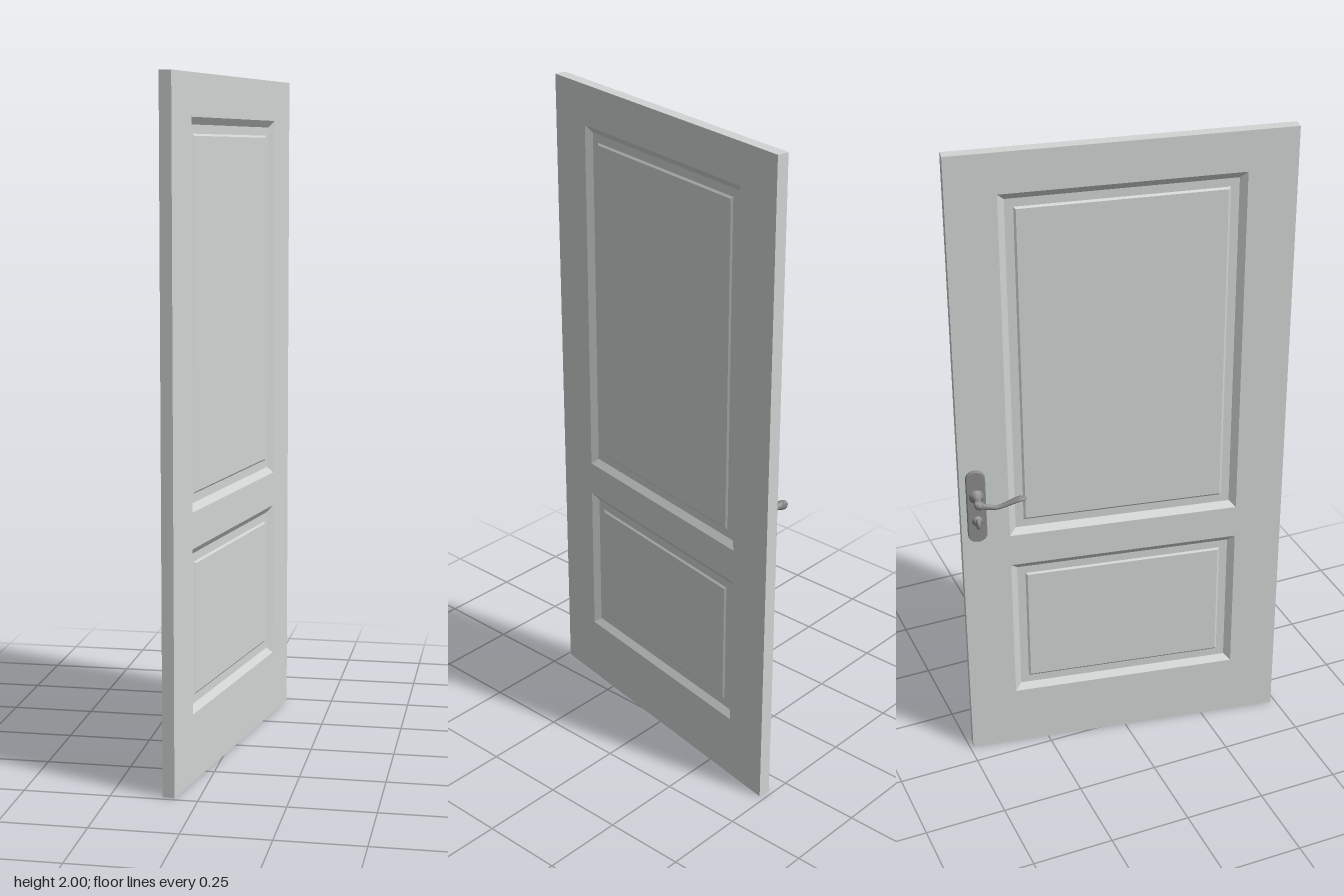
import * as THREE from 'three';

const W = 0.988, H = 2, T = 0.036;          // door leaf
const HX = -0.447;                          // handle axis, across the leaf
const PANELS = [[0.2, 0.68], [0.785, 1.88]]; // bottom and top of each panel
const PANEL_HALF = 0.35;

const paint = new THREE.MeshStandardMaterial({ color: 0xd0d5d3 });
paint.name = 'palePaint';
const metal = new THREE.MeshStandardMaterial({ color: 0x8c8c8c });
metal.name = 'greyMetal';

function add(parent, name, geometry, material, x = 0, y = 0, z = 0) {
  const mesh = new THREE.Mesh(geometry, material);
  mesh.name = name;
  mesh.position.set(x, y, z);
  parent.add(mesh);
  return mesh;
}

function rectPoints(x0, y0, x1, y1) {
  return [[x0, y0], [x1, y0], [x1, y1], [x0, y1]].map(p => new THREE.Vector2(...p));
}

// Stiles and rails: one slab with an opening for each panel
function frameGeometry() {
  const shape = new THREE.Shape(rectPoints(-W / 2, 0, W / 2, H));
  for (const [y0, y1] of PANELS) {
    shape.holes.push(new THREE.Path(rectPoints(-PANEL_HALF, y0, PANEL_HALF, y1)));
  }
  return new THREE.ExtrudeGeometry(shape, { depth: T, bevelEnabled: false }).translate(0, 0, -T / 2);
}

// Panel face: sloped moulding, groove and slightly raised field
function panelGeometry(y0, y1) {
  const steps = [[0, T / 2], [0.02, 0.004], [0.045, 0.004], [0.051, 0.008]];
  const rings = steps.map(([d, z]) =>
    rectPoints(-PANEL_HALF + d, y0 + d, PANEL_HALF - d, y1 - d).map(p => [p.x, p.y, z]));
  const pos = [];
  const quad = (a, b, c, d) => pos.push(...a, ...b, ...c, ...a, ...c, ...d);
  for (let r = 0; r < rings.length - 1; r++) {
    for (let i = 0; i < 4; i++) {
      const j = (i + 1) % 4;
      quad(rings[r][i], rings[r][j], rings[r + 1][j], rings[r + 1][i]);
    }
  }
  quad(...rings[rings.length - 1]);
  const geo = new THREE.BufferGeometry();
  geo.setAttribute('position', new THREE.Float32BufferAttribute(pos, 3));
  geo.computeVertexNormals();
  return geo;
}

// Long plate with arched ends
function plateGeometry() {
  const w = 0.026, h = 0.095, rise = 0.024;
  const s = new THREE.Shape();
  s.moveTo(-w, -h);
  s.absellipse(0, -h, w, rise, Math.PI, Math.PI * 2, false);
  s.lineTo(w, h);
  s.absellipse(0, h, w, rise, 0, Math.PI, false);
  s.closePath();
  return new THREE.ExtrudeGeometry(s, {
    depth: 0.006, bevelThickness: 0.004, bevelSize: 0.003, bevelSegments: 2, curveSegments: 10,
  });
}

// Turned part whose axis points out of the door
function turned(profile) {
  const pts = profile.map(([r, z]) => new THREE.Vector2(r, z));
  return new THREE.LatheGeometry(pts, 20).rotateX(Math.PI / 2);
}

// Lever: elliptical sections [x, y, z, half height, half depth] along x
function leverGeometry() {
  const sections = [
    [-0.014, 0.004, 0.078, 0.001, 0.001],
    [-0.012, 0.004, 0.078, 0.009, 0.010],
    [0.000, 0.002, 0.079, 0.012, 0.010],
    [0.025, -0.008, 0.079, 0.009, 0.006],
    [0.055, -0.012, 0.080, 0.007, 0.007],
    [0.085, -0.002, 0.082, 0.007, 0.010],
    [0.115, 0.010, 0.085, 0.007, 0.013],
    [0.132, 0.012, 0.086, 0.006, 0.012],
    [0.140, 0.012, 0.086, 0.001, 0.002],
  ];
  const centre = new THREE.CatmullRomCurve3(sections.map(s => new THREE.Vector3(s[0], s[1], s[2])));
  const radius = new THREE.CatmullRomCurve3(sections.map(s => new THREE.Vector3(s[3], s[4], 0)));
  const rows = 32, sides = 16, pos = [], index = [];
  for (let r = 0; r <= rows; r++) {
    const c = centre.getPoint(r / rows), e = radius.getPoint(r / rows);
    for (let i = 0; i < sides; i++) {
      const a = (i / sides) * Math.PI * 2;
      pos.push(c.x, c.y + Math.cos(a) * e.x, c.z + Math.sin(a) * e.y);
      if (r === rows) continue;
      const j = (i + 1) % sides, p = r * sides, q = p + sides;
      index.push(p + i, p + j, q + j, p + i, q + j, q + i);
    }
  }
  // End caps
  for (let i = 1; i < sides - 1; i++) {
    const q = rows * sides;
    index.push(0, i + 1, i, q, q + i, q + i + 1);
  }
  const geo = new THREE.BufferGeometry();
  geo.setAttribute('position', new THREE.Float32BufferAttribute(pos, 3));
  geo.setIndex(index);
  geo.computeVertexNormals();
  return geo;
}

export function createModel() {
  const model = new THREE.Group();
  model.name = 'door';

  // Leaf, with panels on both faces
  add(model, 'doorFrame', frameGeometry(), paint);
  PANELS.forEach(([y0, y1], i) => {
    const label = i ? 'upperPanel' : 'lowerPanel';
    const geo = panelGeometry(y0, y1);
    add(model, label + 'HandleSide', geo, paint);
    add(model, label + 'PlainSide', geo, paint).rotation.y = Math.PI;
  });

  // Handle set, on one face only
  const handle = new THREE.Group();
  handle.name = 'handle';
  handle.position.set(HX, 0, 0);
  model.add(handle);
  add(handle, 'backPlate', plateGeometry(), metal, 0, 0.907, T / 2);
  add(handle, 'handleNeck', turned([
    [0.022, 0.026], [0.022, 0.031], [0.017, 0.035], [0.013, 0.042], [0.010, 0.052],
    [0.010, 0.060], [0.013, 0.070], [0.014, 0.080], [0.011, 0.088], [0, 0.091],
  ]), metal, 0, 0.945, 0);
  add(handle, 'lever', leverGeometry(), metal, 0, 0.945, 0);
  add(handle, 'lockCollar', turned([
    [0.016, 0.026], [0.016, 0.030], [0.009, 0.034], [0.009, 0.040], [0, 0.040],
  ]), metal, 0, 0.86, 0);
  const turn = add(handle, 'thumbTurn', new THREE.SphereGeometry(1, 16, 10), metal, 0, 0.86, 0.047);
  turn.scale.set(0.008, 0.017, 0.012);

  // Door stands slightly ajar, its handle face towards -x
  model.rotation.y = THREE.MathUtils.degToRad(-100);
  const root = new THREE.Group();
  root.name = 'panelledDoor';
  root.add(model);
  return root;
}
